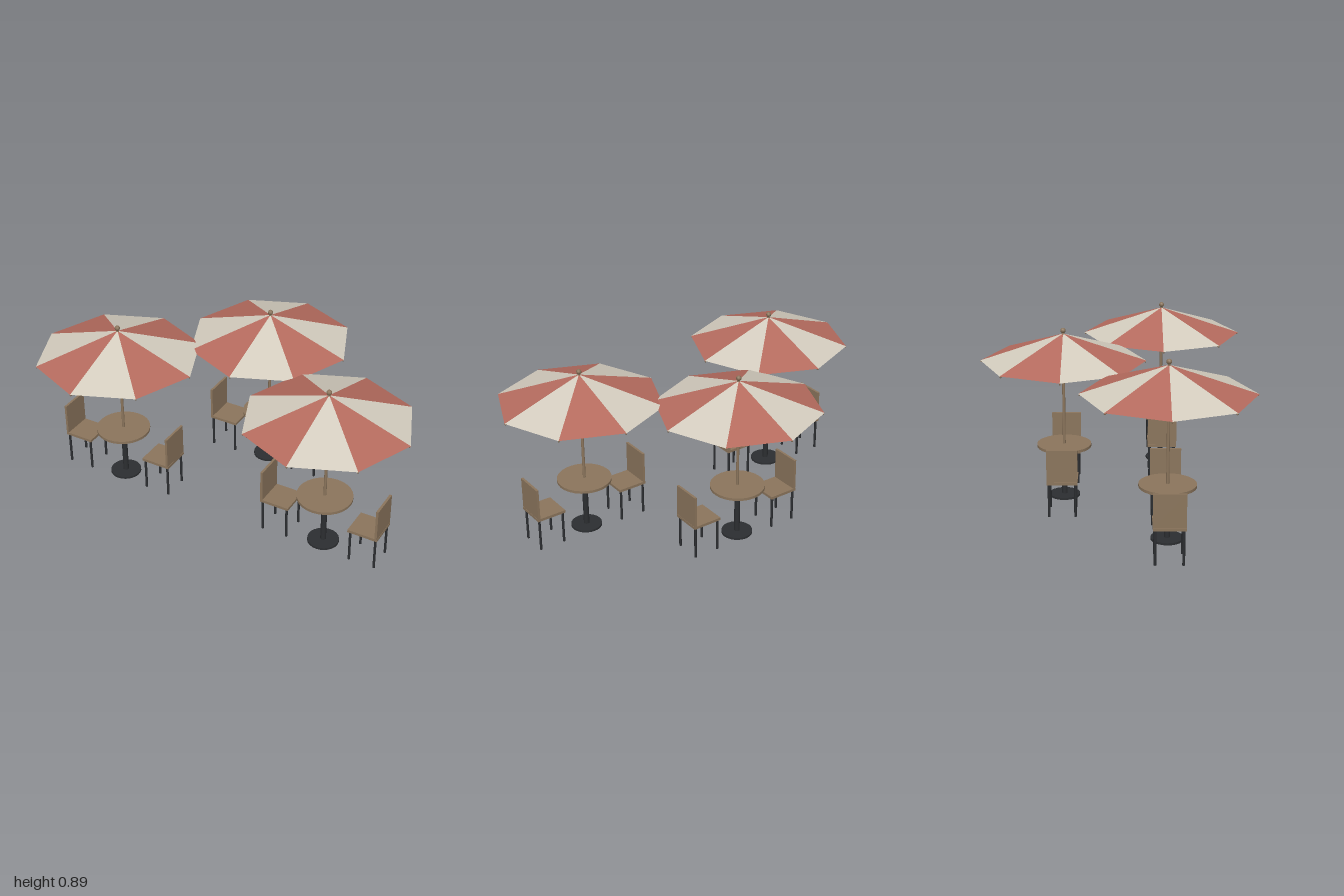
import * as THREE from 'three';

const mat = (name, color, side = THREE.FrontSide) => {
  const m = new THREE.MeshStandardMaterial({ color, side });
  m.name = name;
  return m;
};

export function createModel() {
  const wood = mat('wood', 0x8b755c);
  const metal = mat('darkMetal', 0x2c2e31);
  const red = mat('redFabric', 0xb56b5e, THREE.DoubleSide);
  const cream = mat('creamFabric', 0xd3ccbe, THREE.DoubleSide);

  const add = (parent, name, geometry, material, x = 0, y = 0, z = 0) => {
    const mesh = new THREE.Mesh(geometry, material);
    mesh.name = name;
    mesh.position.set(x, y, z);
    parent.add(mesh);
    return mesh;
  };
  const rod = (r, h, sides) => new THREE.CylinderGeometry(r, r, h, sides);

  // Canopy: eight flat panels in alternating colours
  const R = 0.416, APEX = 0.857, RIM = 0.718, SIDES = 8;
  const rimPoint = (k, r = R, y = RIM) => {
    const a = (k / SIDES) * Math.PI * 2;
    return new THREE.Vector3(Math.cos(a) * r, y, Math.sin(a) * r);
  };
  const panels = (start) => {
    const points = [];
    for (let k = start; k < SIDES; k += 2) {
      points.push(new THREE.Vector3(0, APEX, 0), rimPoint(k + 1), rimPoint(k));
    }
    const g = new THREE.BufferGeometry().setFromPoints(points);
    g.computeVertexNormals();
    return g;
  };

  function makeParasol() {
    const g = new THREE.Group();
    g.name = 'parasol';
    add(g, 'pole', rod(0.0075, 0.58, 10), wood, 0, 0.567, 0);
    add(g, 'finial', new THREE.SphereGeometry(0.0135, 8, 6), wood, 0, 0.872, 0);
    add(g, 'redPanels', panels(0), red);
    add(g, 'creamPanels', panels(1), cream);
    // Ribs run just under each seam
    const top = new THREE.Vector3(0, 0.85, 0);
    for (let k = 0; k < SIDES; k++) {
      const end = rimPoint(k, 0.414, 0.712);
      const dir = end.clone().sub(top);
      const rib = add(g, 'rib', rod(0.004, dir.length(), 6), wood);
      rib.position.copy(top).add(end).multiplyScalar(0.5);
      rib.quaternion.setFromUnitVectors(new THREE.Vector3(0, 1, 0), dir.normalize());
    }
    return g;
  }

  function makeTable() {
    const g = new THREE.Group();
    g.name = 'table';
    add(g, 'tableTop', rod(0.138, 0.014, 28), wood, 0, 0.274, 0);
    add(g, 'tableColumn', rod(0.0145, 0.257, 12), metal, 0, 0.1385, 0);
    add(g, 'tableBase', rod(0.079, 0.011, 24), metal, 0, 0.0055, 0);
    return g;
  }

  // Chair with its backrest towards +x
  function makeChair() {
    const g = new THREE.Group();
    g.name = 'chair';
    add(g, 'seat', new THREE.BoxGeometry(0.155, 0.014, 0.152), wood, 0, 0.176, 0);
    add(g, 'backrest', new THREE.BoxGeometry(0.012, 0.165, 0.152), wood, 0.07, 0.265, 0);
    for (const x of [-0.066, 0.066]) {
      for (const z of [-0.065, 0.065]) {
        add(g, 'chairLeg', rod(0.0065, 0.17, 8), metal, x, 0.085, z);
      }
    }
    return g;
  }

  const model = new THREE.Group();
  model.name = 'terraceSeating';
  for (const [x, z] of [[-0.583, 0.253], [0.583, 0.253], [0, -0.255]]) {
    const set = new THREE.Group();
    set.name = 'tableSet';
    set.position.set(x, 0, z);
    set.add(makeParasol(), makeTable());
    for (const side of [1, -1]) {
      const chair = makeChair();
      chair.position.x = side * 0.2385;
      if (side < 0) chair.rotation.y = Math.PI;
      set.add(chair);
    }
    model.add(set);
  }
  return model;
}
